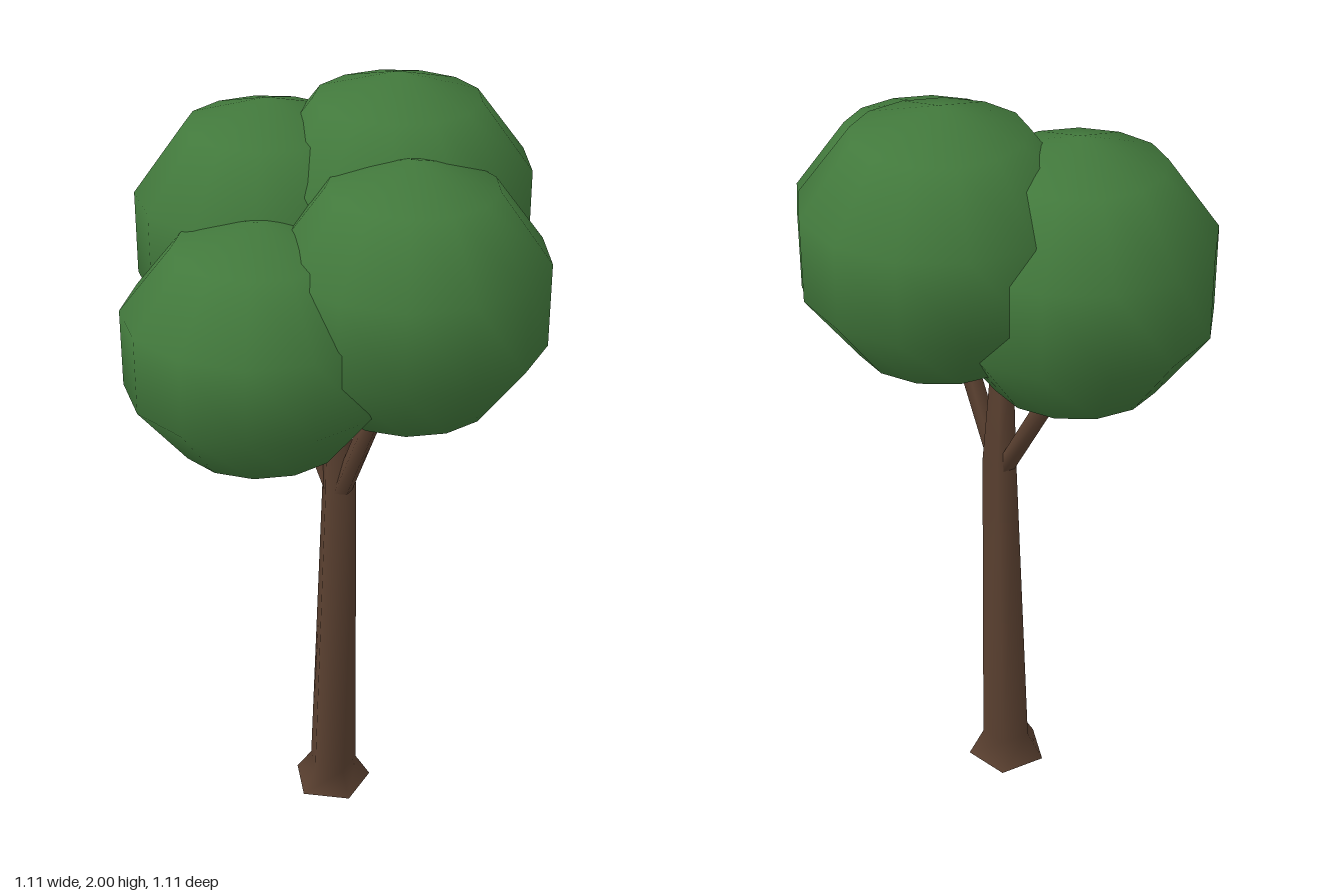
import * as THREE from 'three';

const SIDES = 5;

// Five-sided tapering limb through rings of [x, y, z, radius], capped at both ends
function limb(rings, material, name) {
  const pos = [], idx = [];
  const point = ([x, y, z, r], j) => {
    const a = (j / SIDES) * Math.PI * 2;
    pos.push(x + r * Math.sin(a), y, z + r * Math.cos(a));
  };
  for (const ring of rings) for (let j = 0; j < SIDES; j++) point(ring, j);
  for (let i = 0; i < rings.length - 1; i++) {
    for (let j = 0; j < SIDES; j++) {
      const a = i * SIDES + j, b = i * SIDES + (j + 1) % SIDES;
      idx.push(a, b, b + SIDES, a, b + SIDES, a + SIDES);
    }
  }
  // Caps use their own vertices so their rims stay sharp
  [rings[0], rings[rings.length - 1]].forEach((ring, end) => {
    const s = pos.length / 3;
    for (let j = 0; j < SIDES; j++) point(ring, j);
    for (let j = 1; j < SIDES - 1; j++) {
      if (end) idx.push(s, s + j, s + j + 1);
      else idx.push(s, s + j + 1, s + j);
    }
  });
  const geo = new THREE.BufferGeometry();
  geo.setAttribute('position', new THREE.Float32BufferAttribute(pos, 3));
  geo.setIndex(idx);
  geo.computeVertexNormals();
  const mesh = new THREE.Mesh(geo, material);
  mesh.name = name;
  return mesh;
}

export function createModel() {
  const tree = new THREE.Group();
  tree.name = 'tree';
  const bark = new THREE.MeshStandardMaterial({ color: 0x5a4030 });
  const leaf = new THREE.MeshStandardMaterial({ color: 0x42793c });

  // Trunk with a flared foot, leaning slightly and ending in a central stub
  tree.add(limb([
    [0, 0, -0.002, 0.108],
    [0.005, 0.07, 0, 0.066],
    [0.027, 0.96, 0, 0.046],
    [0.025, 1.24, 0.008, 0.03],
  ], bark, 'trunk'));

  // Side branches reaching into the crown
  tree.add(limb([[0.04, 0.95, 0.005, 0.028], [0.128, 1.15, 0.01, 0.028], [0.2, 1.3, 0.01, 0.022]], bark, 'leftBranch'));
  tree.add(limb([[0.012, 0.94, 0, 0.028], [-0.11, 1.16, 0.005, 0.028], [-0.19, 1.3, 0.005, 0.022]], bark, 'rightBranch'));

  // Crown of four overlapping leaf balls: name, centre, horizontal and vertical radius
  const ball = new THREE.SphereGeometry(1, 13, 5, -Math.PI / 2);
  const crown = new THREE.Group();
  crown.name = 'crown';
  for (const [name, x, y, z, r, h] of [
    ['frontLeaves', 0, 1.438, 0.236, 0.345, 0.311],
    ['backLeaves', 0, 1.67, -0.224, 0.348, 0.33],
    ['leftLeaves', 0.23, 1.555, -0.037, 0.345, 0.335],
    ['rightLeaves', -0.233, 1.588, -0.013, 0.345, 0.342],
  ]) {
    const mesh = new THREE.Mesh(ball, leaf);
    mesh.name = name;
    mesh.position.set(x, y, z);
    mesh.scale.set(r, h, r);
    crown.add(mesh);
  }
  tree.add(crown);
  return tree;
}
